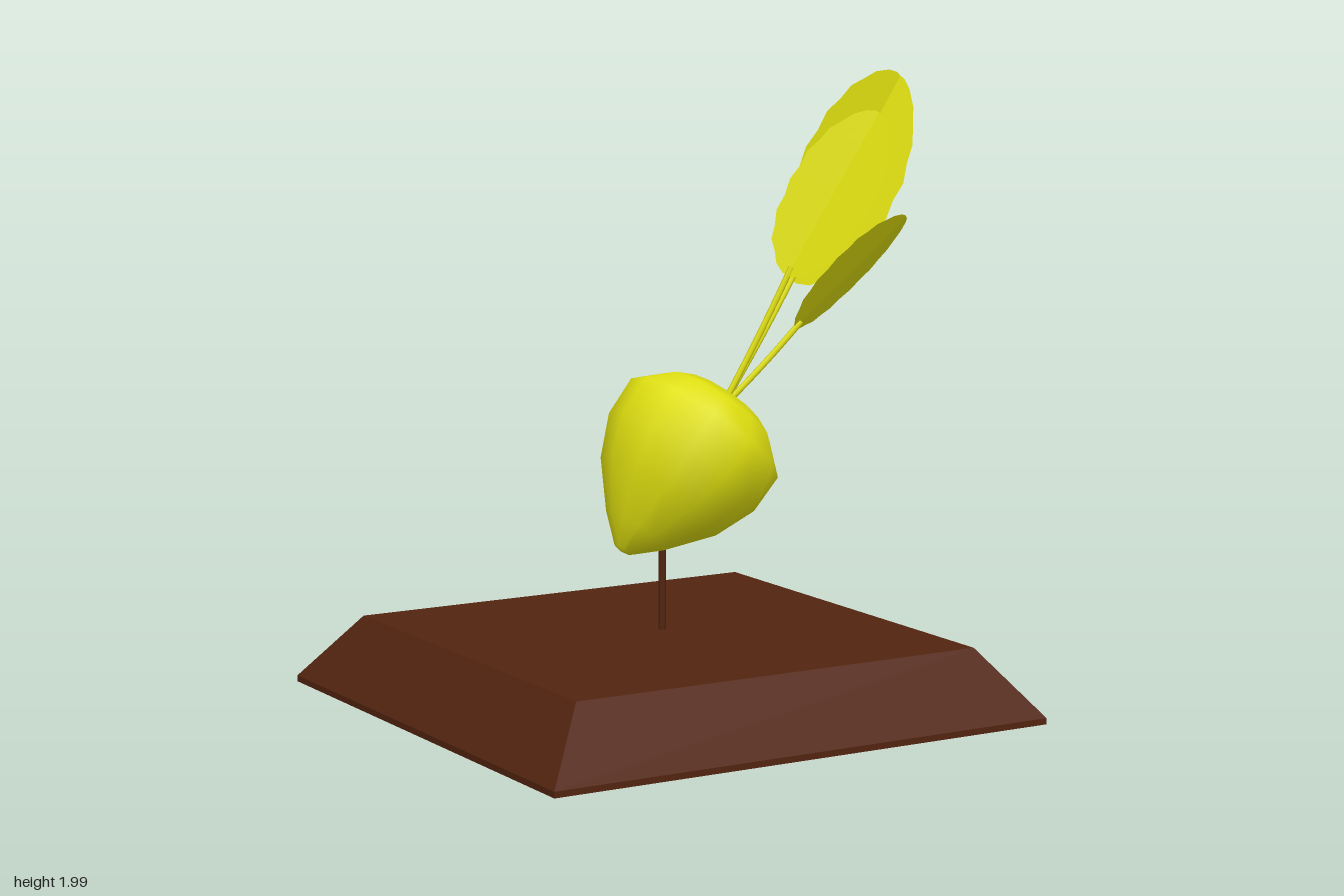
import * as THREE from 'three';
import { toCreasedNormals } from 'three/addons/utils/BufferGeometryUtils.js';

const yellow = new THREE.MeshStandardMaterial({ color: 0xdfdf10 });
yellow.name = 'fruit yellow';
const leafYellow = yellow.clone();
leafYellow.name = 'leaf yellow';
leafYellow.side = THREE.DoubleSide;
const brown = new THREE.MeshStandardMaterial({ color: 0x52240f });
brown.name = 'dark wood';

const V = (a) => new THREE.Vector3(...a);

function part(parent, name, geometry, material, x = 0, y = 0, z = 0) {
  const mesh = new THREE.Mesh(geometry, material);
  mesh.name = name;
  mesh.position.set(x, y, z);
  parent.add(mesh);
  return mesh;
}

// Square frustum with crisp edges, sized by half widths
function frustum(top, bottom, height, open = false) {
  const g = new THREE.CylinderGeometry(top * Math.SQRT2, bottom * Math.SQRT2, height, 4, 1, open);
  g.rotateY(Math.PI / 4);
  return toCreasedNormals(g, 0.02);
}

// Serrated leaf: two flat halves folded along the midrib from base to tip
function leafGeometry(base, tip, across, width) {
  const along = tip.clone().sub(base);
  const dir = along.clone().normalize();
  const side = across.clone().addScaledVector(dir, -across.dot(dir)).normalize();
  const up = side.clone().cross(dir);
  const profile = [
    [0, 0.12], [0.03, 0.34], [0.08, 0.52], [0.13, 0.7], [0.2, 0.82], [0.28, 0.92], [0.37, 0.97],
    [0.46, 1], [0.55, 1], [0.64, 0.97], [0.72, 0.9], [0.8, 0.79], [0.87, 0.65], [0.93, 0.48],
    [0.98, 0.28], [1, 0.1],
  ];
  const rows = profile.map(([t, w], i) => {
    const mid = base.clone().addScaledVector(along, t);
    const half = (w * width / 2) * (i % 2 ? 1.02 : 0.97);
    const edge = (s) => mid.clone().addScaledVector(side, s * half).addScaledVector(up, half * 0.1);
    return [edge(-1), mid, edge(1)];
  });
  const points = [];
  for (let i = 0; i < rows.length - 1; i++) {
    for (let j = 0; j < 2; j++) {
      const a = rows[i][j], b = rows[i][j + 1], c = rows[i + 1][j + 1], d = rows[i + 1][j];
      points.push(a, b, c, a, c, d);
    }
  }
  const g = new THREE.BufferGeometry().setFromPoints(points);
  g.computeVertexNormals();
  return g;
}

export function createModel() {
  const model = new THREE.Group();
  model.name = 'fruitOnStand';
  const cx = -0.12;

  // Stand: thin plinth, bevelled block, barely raised top, rod
  const stand = new THREE.Group();
  stand.name = 'stand';
  model.add(stand);
  part(stand, 'plinth', new THREE.BoxGeometry(1.76, 0.02, 1.76), brown, cx, 0.01, 0);
  part(stand, 'bevelledBlock', frustum(0.715, 0.88, 0.213), brown, cx, 0.1265, 0);
  part(stand, 'raisedTop', frustum(0, 0.715, 0.007, true), brown, cx, 0.2365, 0);
  part(stand, 'rod', new THREE.CylinderGeometry(0.012, 0.012, 0.33, 8), brown, cx, 0.385, 0);

  // Fruit body: tilted turned form with a dimple at the stem end
  const profile = [
    [0, -0.015], [0.03, -0.008], [0.112, 0.067], [0.222, 0.2], [0.28, 0.335],
    [0.284, 0.47], [0.2, 0.55], [0.14, 0.582], [0.06, 0.572], [0, 0.55],
  ].map(([r, y]) => new THREE.Vector2(r, y));
  const fruit = part(model, 'fruitBody', new THREE.LatheGeometry(profile, 12), yellow, -0.262, 0.52, 0);
  fruit.rotation.z = -Math.atan2(0.64, 0.77);

  // Leaves with their stalks
  const root = V([0.1, 0.94, 0]);
  const leaves = [
    { name: 'largeLeaf', base: [0.42, 1.33, -0.085], tip: [0.95, 1.97, -0.24], across: [0.77, -0.64, 0], width: 0.4 },
    { name: 'middleLeaf', base: [0.33, 1.36, 0.03], tip: [0.61, 1.88, 0.14], across: [0.1, -0.12, 0.3], width: 0.32 },
    { name: 'smallLeaf', base: [0.36, 1.19, 0.035], tip: [0.73, 1.535, 0.125], across: [-0.15, 0.14, 0.17], width: 0.26 },
  ];
  for (const { name, base, tip, across, width } of leaves) {
    const group = new THREE.Group();
    group.name = name;
    model.add(group);
    const b = V(base), t = V(tip);
    part(group, 'blade', leafGeometry(b, t, V(across), width), leafYellow);
    const bend = root.clone().lerp(b, 0.5).add(V([0.008, -0.008, 0]));
    const end = b.clone().lerp(t, 0.05);
    const curve = new THREE.QuadraticBezierCurve3(root, bend, end);
    part(group, 'stalk', new THREE.TubeGeometry(curve, 6, 0.01, 6), yellow);
  }
  return model;
}
